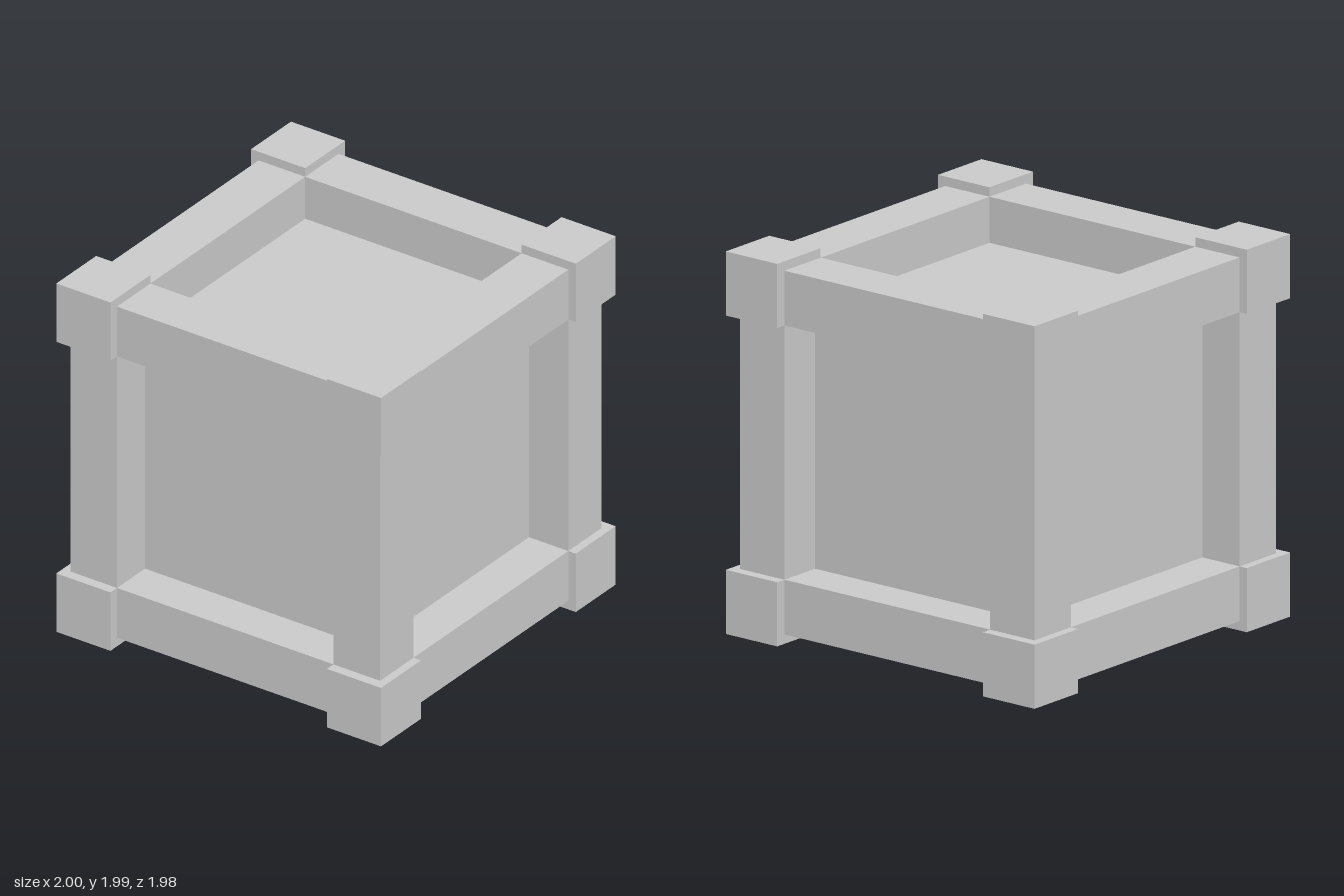
import * as THREE from 'three';

const CY = 0.993;                  // height of the crate's centre
const HALF = [1.0, 0.993, 0.99];   // outer reach of the corner blocks
const INNER = 0.66;                // inner edge of blocks and beams
const BEAM = 0.944;                // outer face of the beams
const CORE = 0.705;                // face of the recessed panels

export function createModel() {
  const crate = new THREE.Group();
  crate.name = 'crate';
  const material = new THREE.MeshStandardMaterial({ color: 0xcccccc, flatShading: true });

  const addBox = (name, size, pos) => {
    const mesh = new THREE.Mesh(new THREE.BoxGeometry(...size), material);
    mesh.name = name;
    mesh.position.set(pos[0], pos[1] + CY, pos[2]);
    crate.add(mesh);
  };

  // Recessed panels on all six sides
  addBox('panels', [CORE * 2, CORE * 2, CORE * 2], [0, 0, 0]);

  // Corner blocks
  const blockSize = HALF.map((h) => h - INNER);
  for (const sx of [-1, 1]) for (const sy of [-1, 1]) for (const sz of [-1, 1]) {
    const s = [sx, sy, sz];
    addBox('cornerBlock', blockSize, HALF.map((h, i) => (s[i] * (h + INNER)) / 2));
  }

  // Twelve edge beams, four along each axis
  const names = ['crossBeam', 'post', 'sideBeam'];
  const width = BEAM - INNER, mid = (BEAM + INNER) / 2;
  for (let axis = 0; axis < 3; axis++) for (const a of [-1, 1]) for (const b of [-1, 1]) {
    const size = [width, width, width], pos = [0, 0, 0];
    size[axis] = INNER * 2;
    pos[(axis + 1) % 3] = a * mid;
    pos[(axis + 2) % 3] = b * mid;
    addBox(names[axis], size, pos);
  }
  return crate;
}
